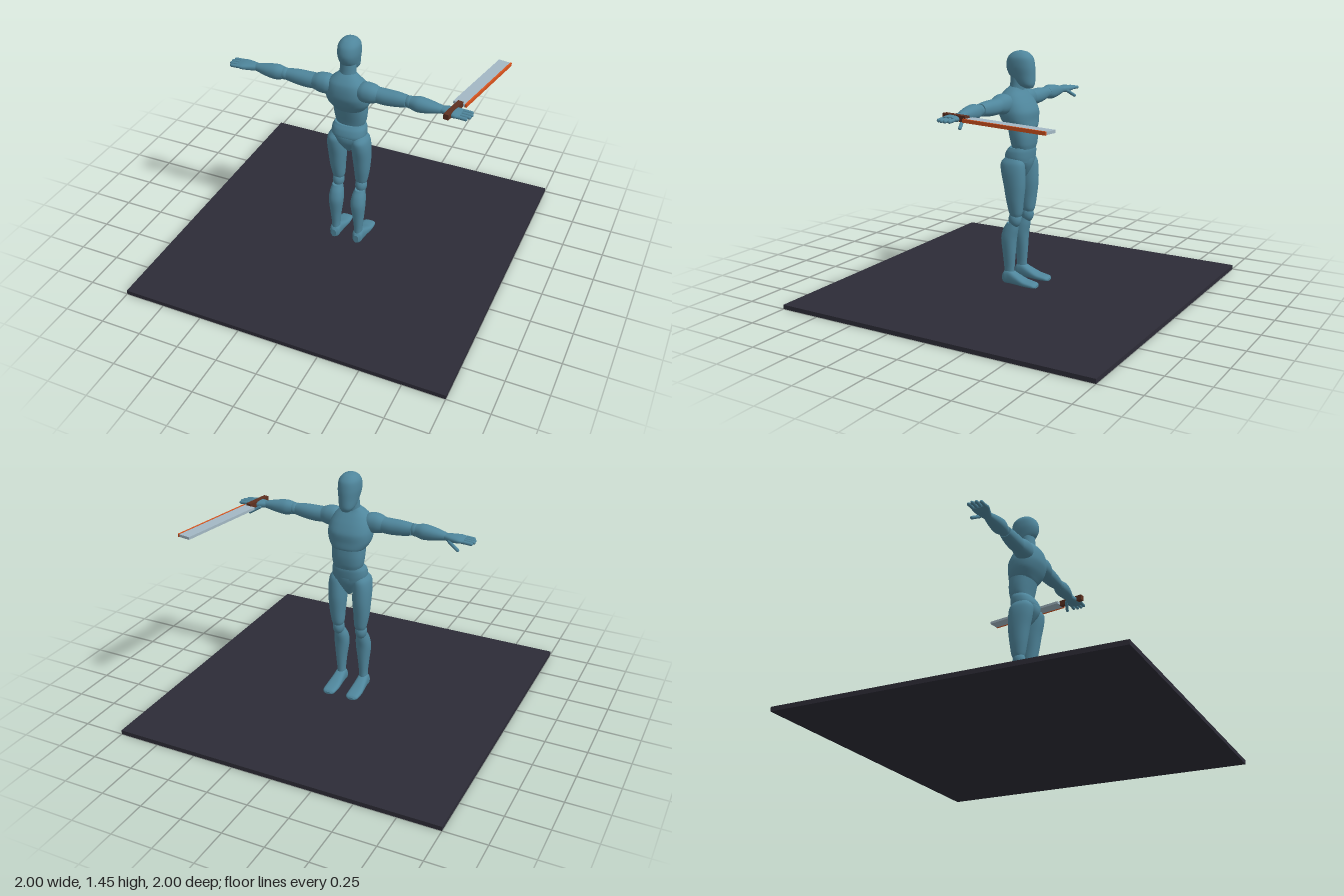
import * as THREE from 'three';

const mat = (name, color) => Object.assign(new THREE.MeshStandardMaterial({ color }), { name });

// Smooth loft along an axis. Section: [position, centreU, centreV, halfU, halfV];
// (U, V) is (z, x) along y, (y, z) along x and (x, y) along z.
function loft(axis, sections, power = 2.2, sides = 28) {
  const s = [...sections].sort((a, b) => a[0] - b[0]);
  const curve = (pick) => new THREE.CatmullRomCurve3(s.map(pick), false, 'catmullrom', 0.45);
  const centres = curve((p) => new THREE.Vector3(p[0], p[1], p[2]));
  const sizes = curve((p) => new THREE.Vector3(p[3], p[4], 0));
  const steps = (s.length - 1) * 5;
  const pos = [], idx = [];
  const put = (a, u, v) => {
    if (axis === 'y') pos.push(v, a, u);
    else if (axis === 'x') pos.push(a, u, v);
    else pos.push(u, v, a);
  };
  const bend = (n) => Math.sign(n) * Math.abs(n) ** (2 / power);
  const ring = (t) => {
    const c = centres.getPoint(t), r = sizes.getPoint(t);
    for (let j = 0; j < sides; j++) {
      const a = (j / sides) * Math.PI * 2;
      put(c.x, c.y + r.x * bend(Math.cos(a)), c.z + r.y * bend(Math.sin(a)));
    }
    return c;
  };
  for (let i = 0; i <= steps; i++) ring(i / steps);
  for (let i = 0; i < steps; i++) {
    for (let j = 0; j < sides; j++) {
      const a = i * sides + j, b = i * sides + ((j + 1) % sides);
      idx.push(a, b, b + sides, a, b + sides, a + sides);
    }
  }
  // End caps with their own vertices
  for (const t of [0, 1]) {
    const base = pos.length / 3;
    const c = ring(t);
    put(c.x, c.y, c.z);
    for (let j = 0; j < sides; j++) {
      const a = base + j, b = base + ((j + 1) % sides);
      if (t) idx.push(base + sides, a, b);
      else idx.push(base + sides, b, a);
    }
  }
  const g = new THREE.BufferGeometry();
  g.setAttribute('position', new THREE.Float32BufferAttribute(pos, 3));
  g.setIndex(idx);
  g.computeVertexNormals();
  return g;
}

// Rounded rod between two points
function rod(from, to, radius) {
  const a = new THREE.Vector3(...from), b = new THREE.Vector3(...to);
  const dir = b.clone().sub(a);
  const g = new THREE.CapsuleGeometry(radius, dir.length(), 5, 10);
  const q = new THREE.Quaternion().setFromUnitVectors(new THREE.Vector3(0, 1, 0), dir.normalize());
  g.applyQuaternion(q);
  const m = a.add(b).multiplyScalar(0.5);
  return g.translate(m.x, m.y, m.z);
}

function ellipsoid(x, y, z, rx, ry, rz) {
  return new THREE.SphereGeometry(1, 24, 16).scale(rx, ry, rz).translate(x, y, z);
}

function mirrorX(geometry) {
  const g = geometry.clone().scale(-1, 1, 1);
  const i = g.index.array;
  for (let k = 0; k < i.length; k += 3) [i[k], i[k + 1]] = [i[k + 1], i[k]];
  g.computeVertexNormals();
  return g;
}

export function createModel() {
  const model = new THREE.Group();
  const body = mat('bodyBlue', 0x4f869c);
  const floorMat = mat('floorCharcoal', 0x2d2c37);
  const steel = mat('bladeSteel', 0xa3b8c4);
  const orange = mat('edgeOrange', 0xd9541e);
  const brown = mat('gripBrown', 0x5e3020);

  const add = (parent, name, geometry, material) => {
    const mesh = new THREE.Mesh(geometry, material);
    mesh.name = name;
    parent.add(mesh);
    return mesh;
  };

  // Floor slab
  add(model, 'floor', new THREE.BoxGeometry(2, 0.026, 2).translate(0, 0.013, 0), floorMat);

  // Figure, facing -z
  const figure = new THREE.Group();
  figure.name = 'figure';
  model.add(figure);
  const centre = (name, geometry) => add(figure, name, geometry, body);
  centre('head', loft('y', [
    [1.235, -0.055, 0, 0.022, 0.024], [1.26, -0.036, 0, 0.053, 0.044], [1.31, -0.01, 0, 0.08, 0.055],
    [1.36, 0, 0, 0.088, 0.063], [1.41, 0, 0, 0.077, 0.06], [1.44, 0, 0, 0.046, 0.038], [1.451, 0, 0, 0.008, 0.008],
  ]));
  centre('neck', loft('y', [
    [1.19, 0.035, 0, 0.055, 0.075], [1.23, 0.024, 0, 0.043, 0.052], [1.3, 0.015, 0, 0.045, 0.047],
  ], 2));
  centre('chest', loft('y', [
    [0.995, -0.01, 0, 0.074, 0.09], [1.01, -0.01, 0, 0.084, 0.106], [1.05, 0.003, 0, 0.096, 0.128],
    [1.1, 0.013, 0, 0.105, 0.134], [1.15, 0.025, 0, 0.093, 0.125], [1.19, 0.034, 0, 0.075, 0.105],
    [1.22, 0.034, 0, 0.053, 0.075], [1.245, 0.026, 0, 0.035, 0.045],
  ], 2.4));
  centre('abdomen', loft('y', [
    [0.88, -0.023, 0, 0.06, 0.084], [0.91, -0.024, 0, 0.066, 0.094],
    [0.96, -0.02, 0, 0.073, 0.1], [1.03, -0.01, 0, 0.078, 0.1],
  ], 2.4));
  centre('waist', loft('y', [
    [0.8, 0.002, 0, 0.076, 0.1], [0.83, 0.002, 0, 0.08, 0.107],
    [0.865, -0.005, 0, 0.075, 0.104], [0.888, -0.013, 0, 0.064, 0.094],
  ], 2.4));
  centre('pelvis', loft('y', [
    [0.695, -0.002, 0, 0.022, 0.012], [0.73, 0, 0, 0.05, 0.036],
    [0.78, 0.004, 0, 0.076, 0.076], [0.82, 0.003, 0, 0.08, 0.104], [0.845, 0, 0, 0.07, 0.1],
  ]));

  // Limb parts for the +x side; each is repeated mirrored
  const limbs = {
    thigh: loft('y', [
      [0.475, -0.01, 0.075, 0.032, 0.03], [0.5, -0.01, 0.075, 0.041, 0.038], [0.57, -0.007, 0.079, 0.053, 0.046],
      [0.66, -0.004, 0.079, 0.066, 0.053], [0.74, 0.005, 0.079, 0.075, 0.054],
      [0.795, 0.01, 0.077, 0.074, 0.048], [0.83, 0.008, 0.072, 0.05, 0.032],
    ]),
    knee: ellipsoid(0.075, 0.455, -0.004, 0.036, 0.05, 0.039),
    shin: loft('y', [
      [0.12, 0.035, 0.075, 0.032, 0.025], [0.16, 0.035, 0.075, 0.033, 0.026], [0.23, 0.036, 0.075, 0.039, 0.033],
      [0.33, 0.038, 0.073, 0.047, 0.045], [0.39, 0.026, 0.073, 0.045, 0.041], [0.432, 0.012, 0.075, 0.034, 0.031],
    ]),
    foot: loft('z', [
      [-0.156, 0.078, 0.059, 0.022, 0.007], [-0.14, 0.078, 0.064, 0.038, 0.014], [-0.08, 0.078, 0.07, 0.042, 0.02],
      [-0.02, 0.077, 0.083, 0.037, 0.033], [0.03, 0.076, 0.095, 0.033, 0.045],
      [0.06, 0.076, 0.09, 0.031, 0.04], [0.077, 0.076, 0.084, 0.016, 0.026],
    ], 2.6),
    shoulder: loft('x', [
      [0.08, 1.15, 0.045, 0.045, 0.05], [0.115, 1.15, 0.047, 0.059, 0.058],
      [0.16, 1.15, 0.047, 0.057, 0.056], [0.2, 1.148, 0.046, 0.044, 0.045],
    ]),
    upperArm: loft('x', [
      [0.18, 1.148, 0.045, 0.045, 0.045], [0.24, 1.146, 0.045, 0.046, 0.048],
      [0.31, 1.148, 0.045, 0.043, 0.044], [0.37, 1.15, 0.046, 0.035, 0.036],
    ]),
    elbow: ellipsoid(0.39, 1.15, 0.046, 0.04, 0.036, 0.036),
    forearm: loft('x', [
      [0.395, 1.15, 0.046, 0.035, 0.036], [0.44, 1.149, 0.046, 0.044, 0.046],
      [0.5, 1.148, 0.045, 0.037, 0.042], [0.56, 1.147, 0.042, 0.025, 0.03], [0.58, 1.147, 0.04, 0.02, 0.025],
    ]),
    palm: loft('x', [
      [0.565, 1.147, 0.04, 0.018, 0.024], [0.61, 1.146, 0.04, 0.021, 0.038],
      [0.655, 1.147, 0.043, 0.018, 0.05], [0.69, 1.147, 0.043, 0.012, 0.048],
    ], 2.5),
    thumb: rod([0.605, 1.135, 0.008], [0.664, 1.1, -0.012], 0.01),
  };
  [0.735, 0.741, 0.738, 0.725].forEach((tip, i) => {
    const z = 0.006 + i * 0.025;
    limbs['finger' + (i + 1)] = rod([0.675, 1.147, z], [tip, 1.144, z], 0.0105);
  });
  for (const [name, geometry] of Object.entries(limbs)) {
    add(figure, name + 'Left', geometry, body);
    add(figure, name + 'Right', mirrorX(geometry), body);
  }

  // Sword held in the +x hand, blade along -z
  const sword = new THREE.Group();
  sword.name = 'sword';
  sword.position.set(0.646, 1.147, -0.05);
  sword.rotation.y = -0.171;
  model.add(sword);
  add(sword, 'blade', new THREE.BoxGeometry(0.073, 0.016, 0.56).translate(-0.005, 0, -0.28), steel);
  add(sword, 'bladeEdge', new THREE.BoxGeometry(0.01, 0.02, 0.56).translate(0.0365, 0, -0.28), orange);
  add(sword, 'grip', new THREE.BoxGeometry(0.032, 0.034, 0.168).translate(0.004, 0.004, 0.082), brown);

  return model;
}
